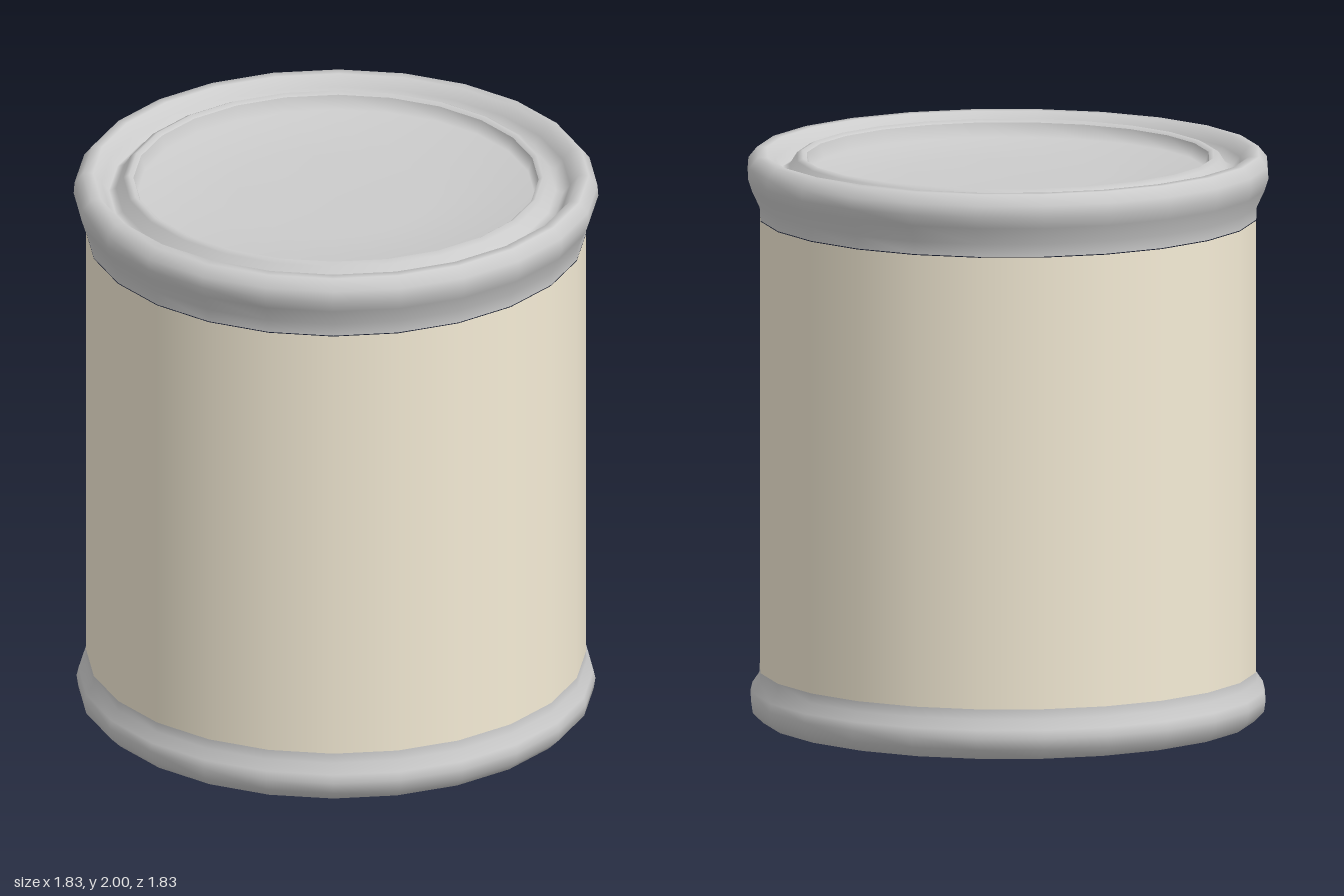
import * as THREE from 'three';

const SIDES = 24;

export function createModel() {
  const group = new THREE.Group();
  const metal = new THREE.MeshStandardMaterial({ color: 0xcccccc });
  const label = new THREE.MeshStandardMaterial({ color: 0xf5ecd6 });

  // Each profile runs upward on the outside, as [radius, height]
  const turned = (name, profile, material) => {
    const points = profile.map(([r, y]) => new THREE.Vector2(r, y));
    const mesh = new THREE.Mesh(new THREE.LatheGeometry(points, SIDES), material);
    mesh.name = name;
    group.add(mesh);
  };

  // Flat underside and rolled bottom rim
  turned('base', [[0, 0], [0.84, 0]], metal);
  turned('bottomRim', [
    [0.84, 0], [0.862, 0.005], [0.897, 0.04], [0.903, 0.08],
    [0.896, 0.11], [0.872, 0.145], [0.87, 0.18],
  ], metal);

  // Straight wall
  turned('body', [[0.87, 0.18], [0.87, 1.775]], label);

  // Rolled top rim, groove and raised edge of the lid
  turned('topRim', [
    [0.87, 1.775], [0.872, 1.82], [0.9, 1.88], [0.913, 1.92], [0.91, 1.96],
    [0.88, 1.997], [0.845, 1.997], [0.815, 1.96], [0.79, 1.93],
    [0.765, 1.94], [0.74, 1.98], [0.72, 1.99], [0.705, 1.98],
  ], metal);

  // Sunken lid panel, softly shaded into its wall
  turned('lid', [[0.705, 1.98], [0.69, 1.93], [0.35, 1.915], [0, 1.91]], metal);

  // Bring the outer top edge to full height
  group.getObjectByName('topRim').geometry.translate(0, 0.003, 0);
  group.getObjectByName('lid').geometry.translate(0, 0.003, 0);
  return group;
}
